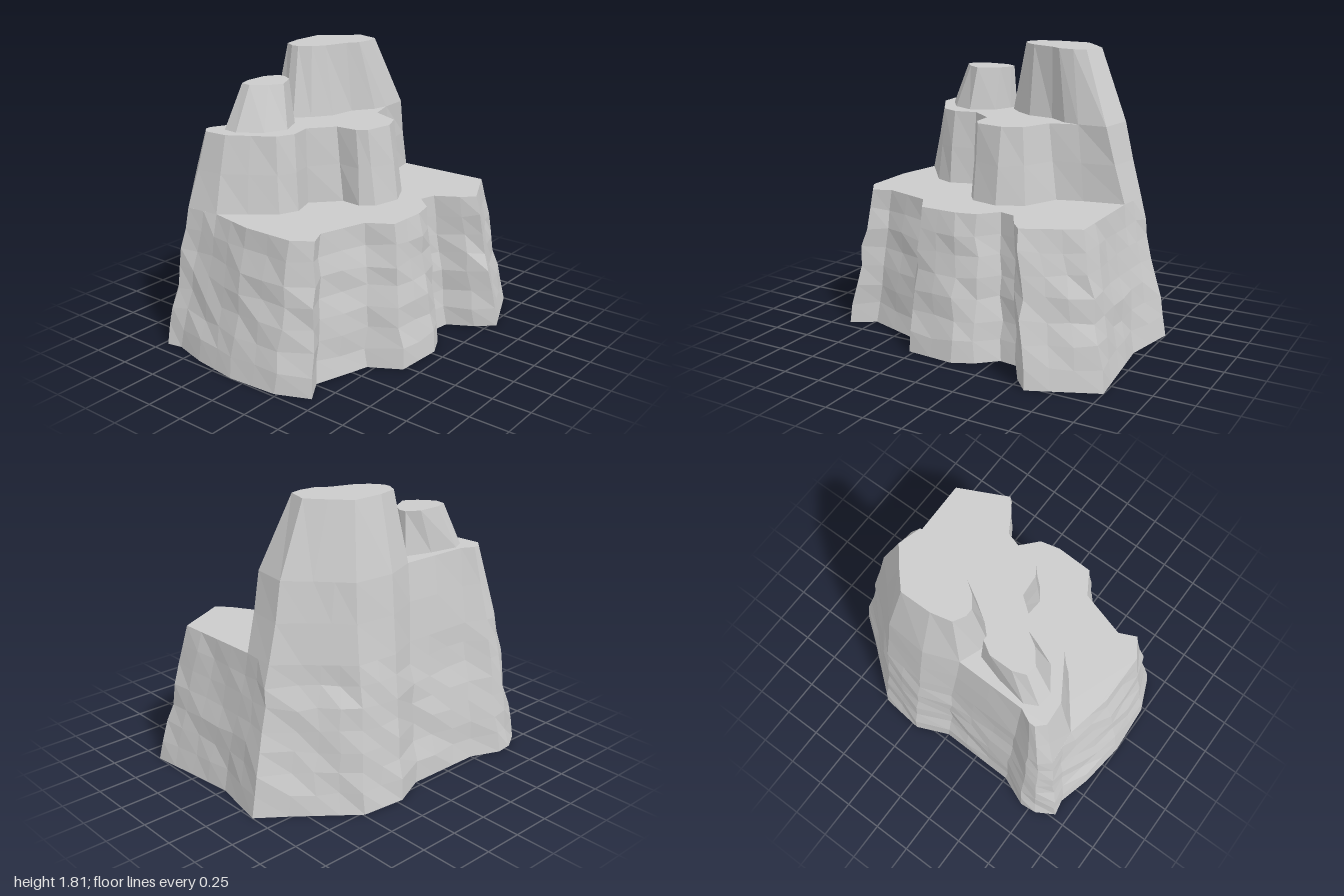
import * as THREE from 'three';

// Outlines run back -> right -> front -> left; each entry is [bottomX, bottomZ, topX, topZ].
const BASE = [
  [-.92, -.72, -.78, -.62], [-.8, -.79, -.71, -.68], [-.69, -.8, -.64, -.68], [-.5, -.72, -.5, -.62],
  [0, -.71, -.02, -.61], [.21, -.8, .18, -.69], [.49, -.77, .45, -.67], [.83, -.49, .68, -.44],
  [1, -.36, .82, -.32], [.93, 0, .8, -.1], [1, .61, .81, .5], [.59, .79, .48, .66],
  [.49, .68, .41, .58], [.4, .52, .33, .44], [.28, .5, .23, .41], [.16, .61, .13, .52],
  [.03, .67, 0, .55], [-.28, .65, -.24, .54], [-.39, .46, -.33, .39], [-.74, .35, -.63, .3],
  [-.89, .44, -.74, .35], [-.98, .23, -.82, .23], [-1, -.1, -.82, -.1], [-.96, -.4, -.76, -.4],
  [-.9, -.62, -.77, -.5],
];
const MIDDLE = [
  [-.78, -.62, -.67, -.55], [-.71, -.68, -.62, -.6], [-.64, -.68, -.58, -.6], [-.5, -.62, -.5, -.56],
  [-.02, -.61, -.05, -.55], [.18, -.69, .16, -.63], [.45, -.67, .42, -.61], [.68, -.44, .58, -.43],
  [.82, -.32, .71, -.3], [.8, -.1, .68, -.07], [.55, -.05, .5, -.06], [.39, 0, .33, -.01],
  [.29, .22, .25, .18], [.13, .3, .13, .23], [-.05, .26, -.05, .2], [-.11, .18, -.09, .14],
  [-.1, .05, -.1, 0], [-.26, -.1, -.25, -.12], [-.41, -.05, -.39, -.09], [-.53, -.1, -.5, -.14],
  [-.76, -.4, -.66, -.4],
];
const TOWER = [
  [-.05, -.55, .02, -.49], [.16, -.63, .15, -.52], [.42, -.61, .35, -.52], [.58, -.43, .45, -.41],
  [.71, -.3, .54, -.3], [.68, -.07, .5, -.16], [.5, -.06, .42, -.14], [.4, -.08, .32, -.15],
  [.27, -.17, .25, -.2], [.1, -.19, .1, -.25], [-.02, -.27, .03, -.3], [-.1, -.35, -.02, -.37],
  [-.1, -.42, -.02, -.42],
];
const PINNACLE = [
  [-.57, -.49, -.45, -.45], [-.49, -.53, -.37, -.48], [-.3, -.5, -.22, -.48], [-.13, -.45, -.14, -.43],
  [-.14, -.38, -.14, -.38], [-.19, -.26, -.18, -.31], [-.34, -.19, -.31, -.24], [-.48, -.25, -.39, -.29],
  [-.58, -.39, -.46, -.38],
];

// Split long edges so the rock face breaks into panels
function subdivide(outline, step) {
  return outline.flatMap((p, i) => {
    const q = outline[(i + 1) % outline.length];
    const n = Math.max(1, Math.round(Math.hypot(q[0] - p[0], q[1] - p[1]) / step));
    return Array.from({ length: n }, (_, k) => p.map((v, j) => v + (q[j] - v) * k / n));
  });
}

// Faceted wall between two outlines, closed with flat caps
function rockTier(name, outline, y0, y1, { rows = 1, step = 9, rough = 0, bottom = false } = {}) {
  let seed = 7;
  const jitter = () => {
    seed = (seed * 16807) % 2147483647;
    return (seed / 2147483647 - 0.5) * 2 * rough;
  };
  const pts = subdivide(outline, step);
  const rings = Array.from({ length: rows + 1 }, (_, r) => {
    const t = r / rows, inner = r > 0 && r < rows ? 1 : 0;
    return pts.map(([a, b, c, d]) => new THREE.Vector3(
      a + (c - a) * t + inner * jitter(),
      y0 + (y1 - y0) * t + inner * jitter(),
      b + (d - b) * t + inner * jitter()));
  });
  const verts = [];
  const tri = (...v) => v.forEach(p => verts.push(p.x, p.y, p.z));
  for (let r = 0; r < rows; r++) {
    pts.forEach((_, i) => {
      const j = (i + 1) % pts.length, lo = rings[r], hi = rings[r + 1];
      tri(lo[i], hi[i], hi[j]);
      tri(lo[i], hi[j], lo[j]);
    });
  }
  const cap = (ring, up) => {
    const flat = ring.map(p => new THREE.Vector2(p.x, p.z));
    for (const [i, j, k] of THREE.ShapeUtils.triangulateShape(flat, [])) {
      const a = flat[i], b = flat[j], c = flat[k];
      const facesDown = (b.x - a.x) * (c.y - a.y) - (b.y - a.y) * (c.x - a.x) > 0;
      if (facesDown === up) tri(ring[i], ring[k], ring[j]);
      else tri(ring[i], ring[j], ring[k]);
    }
  };
  cap(rings[rows], true);
  if (bottom) cap(rings[0], false);

  const geo = new THREE.BufferGeometry();
  geo.setAttribute('position', new THREE.Float32BufferAttribute(verts, 3));
  geo.computeVertexNormals();
  const mesh = new THREE.Mesh(geo, new THREE.MeshStandardMaterial({ color: 0xcccccc, flatShading: true }));
  mesh.name = name;
  return mesh;
}

export function createModel() {
  const group = new THREE.Group();
  group.name = 'steppedRock';
  group.add(
    rockTier('baseLedge', BASE, 0, 0.9, { rows: 7, step: 0.16, rough: 0.012, bottom: true }),
    rockTier('middleLedge', MIDDLE, 0.9, 1.37, { rows: 2, step: 0.2, rough: 0.005 }),
    rockTier('tallPeak', TOWER, 1.37, 1.81),
    rockTier('smallPeak', PINNACLE, 1.37, 1.64),
  );
  return group;
}
